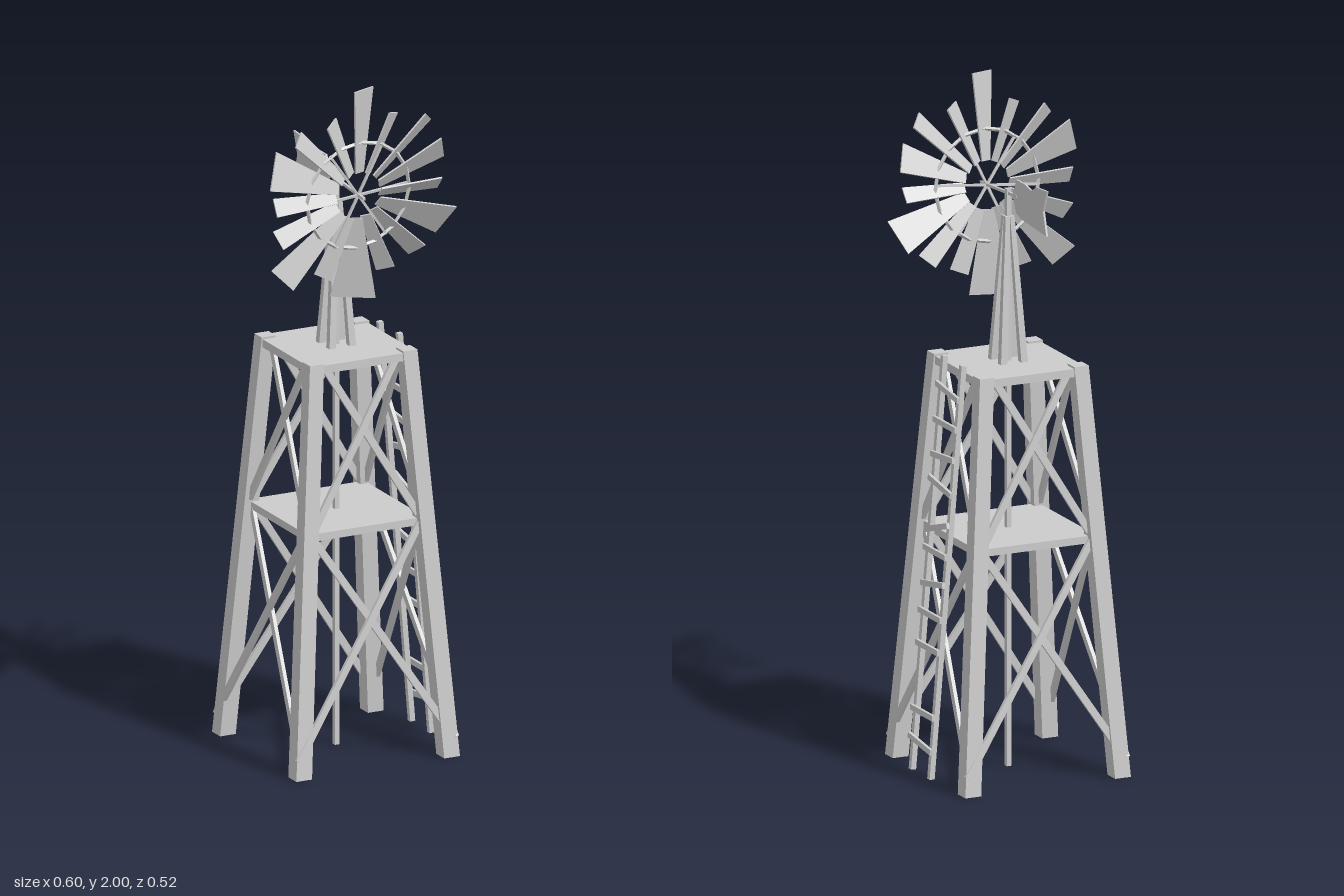
import * as THREE from 'three';

const material = new THREE.MeshStandardMaterial({ color: 0xcccccc, flatShading: true, side: THREE.DoubleSide });
const V = (x, y, z) => new THREE.Vector3(x, y, z);

function addMesh(parent, name, geometry) {
  const mesh = new THREE.Mesh(geometry, material);
  mesh.name = name;
  parent.add(mesh);
  return mesh;
}

// Straight rectangular bar from a to b; "facing" is the direction of its thin side.
function beam(parent, name, a, b, width, depth = width, facing = V(0, 0, 1)) {
  const dir = b.clone().sub(a);
  const length = dir.length();
  dir.normalize();
  const side = dir.clone().cross(facing).normalize();
  const normal = side.clone().cross(dir);
  const mesh = addMesh(parent, name, new THREE.BoxGeometry(width, length, depth));
  mesh.quaternion.setFromRotationMatrix(new THREE.Matrix4().makeBasis(side, dir, normal));
  mesh.position.copy(a).add(b).multiplyScalar(0.5);
  return mesh;
}

// Upright post with level ends, leaning from its bottom centre to its top centre.
function leaningPost(parent, name, bottom, top, bottomSize, topSize) {
  const geo = new THREE.BoxGeometry(1, 1, 1);
  const p = geo.attributes.position;
  for (let i = 0; i < p.count; i++) {
    const up = p.getY(i) > 0;
    const c = up ? top : bottom, s = up ? topSize : bottomSize;
    p.setXYZ(i, c.x + p.getX(i) * s, c.y, c.z + p.getZ(i) * s);
  }
  geo.computeVertexNormals();
  return addMesh(parent, name, geo);
}

function slab(parent, name, half, y, thickness) {
  addMesh(parent, name, new THREE.BoxGeometry(half * 2, thickness, half * 2)).position.y = y;
}

function createTower() {
  const tower = new THREE.Group();
  tower.name = 'tower';
  for (const sx of [-1, 1]) for (const sz of [-1, 1]) {
    leaningPost(tower, 'towerLeg', V(sx * 0.236, 0, sz * 0.236), V(sx * 0.149, 1.2, sz * 0.149), 0.05, 0.045);
    leaningPost(tower, 'mastLeg', V(sx * 0.033, 1.18, sz * 0.033), V(sx * 0.007, 1.62, sz * 0.007), 0.021, 0.014);
  }
  slab(tower, 'topPlatform', 0.168, 1.182, 0.024);
  slab(tower, 'middlePlatform', 0.187, 0.692, 0.022);
  beam(tower, 'pumpRod', V(0, 0, 0), V(0, 1.7, 0), 0.015);

  // Crossed braces on each of the four faces
  for (let i = 0; i < 4; i++) {
    const face = new THREE.Group();
    face.name = 'faceBraces';
    face.rotation.y = i * Math.PI / 2;
    for (const s of [-1, 1]) {
      const off = s * 0.004;
      beam(face, 'lowerBrace', V(-s * 0.25, 0.055, 0.25 + off), V(s * 0.17, 0.69, 0.185 + off), 0.021, 0.011);
      beam(face, 'upperBrace', V(-s * 0.167, 0.715, 0.185 + off), V(s * 0.115, 1.185, 0.15 + off), 0.021, 0.011);
    }
    tower.add(face);
  }
  return tower;
}

function createLadder() {
  const ladder = new THREE.Group();
  ladder.name = 'ladder';
  const railX = y => 0.276 - 0.084 * y;
  for (const z of [-0.066, 0.054])
    beam(ladder, 'ladderRail', V(railX(0.01), 0.01, z), V(railX(1.215), 1.215, z), 0.016, 0.016);
  // Rungs as height and slope; some hang crooked, one is missing
  const rungs = [[0.1, 0.018], [0.19, 0], [0.38, 0], [0.475, 0], [0.565, -0.025], [0.658, 0],
    [0.73, -0.045], [0.85, 0.022], [0.935, -0.012], [1.03, 0], [1.125, 0.018]];
  for (const [y, slope] of rungs) {
    const x = railX(y) + 0.012;
    beam(ladder, 'ladderRung', V(x, y - slope / 2, -0.077), V(x, y + slope / 2, 0.066), 0.017, 0.009, V(1, 0, 0));
  }
  return ladder;
}

// Tapered flat blade pointing up from the hub
function bladeGeometry(inner, outer, innerWidth, outerWidth) {
  const geo = new THREE.BoxGeometry(1, 1, 0.005);
  const p = geo.attributes.position;
  for (let i = 0; i < p.count; i++) {
    const out = p.getY(i) > 0;
    p.setX(i, p.getX(i) * (out ? outerWidth : innerWidth));
    p.setY(i, out ? outer : inner);
  }
  geo.computeVertexNormals();
  return geo;
}

function createRotor() {
  const rotor = new THREE.Group();
  rotor.name = 'rotor';
  rotor.position.set(0, 1.675, 0.137);
  rotor.rotation.x = 0.105;
  // Sixteen uneven blades from the right-hand one round: reach, tip width, pitch
  const blades = [
    [0.26, 0.05, 0.6], [0.285, 0.09, 0.45], [0.3, 0.06, 0.6], [0.26, 0.055, 0.6],
    [0.327, 0.073, 0.3], [0.255, 0.055, 0.6], [0.285, 0.055, 0.6], [0.3, 0.115, 0.45],
    [0.265, 0.055, 0.6], [0.27, 0.06, 0.6], [0.325, 0.085, 0.5], [0.26, 0.055, 0.6],
    [0.315, 0.13, 0.45], [0.26, 0.055, 0.6], [0.28, 0.06, 0.6], [0.31, 0.11, 0.45]];
  blades.forEach(([reach, width, pitch], i) => {
    const arm = new THREE.Group();
    arm.name = 'bladeArm';
    arm.rotation.z = (i / blades.length) * Math.PI * 2 - Math.PI / 2;
    addMesh(arm, 'blade', bladeGeometry(0.07, reach, 0.032, width)).rotation.y = pitch;
    rotor.add(arm);
  });
  addMesh(rotor, 'bladeRing', new THREE.TorusGeometry(0.163, 0.006, 4, 16));
  // Thin spokes across the open centre
  for (let i = 0; i < 3; i++) {
    const a = 0.1 + i * Math.PI / 3;
    const tip = V(Math.cos(a) * 0.165, Math.sin(a) * 0.165, 0);
    beam(rotor, 'spoke', tip.clone().negate(), tip, 0.007);
  }
  return rotor;
}

function createTail() {
  const tail = new THREE.Group();
  tail.name = 'tail';
  beam(tail, 'shaft', V(0, 1.674, 0.175), V(0, 1.691, -0.06), 0.008, 0.008, V(0, 1, 0));
  // Ragged vane outline: distance behind the mast and height
  const outline = [[0.036, 1.69], [0.06, 1.74], [0.115, 1.74], [0.155, 1.732], [0.19, 1.75], [0.258, 1.755],
    [0.234, 1.69], [0.254, 1.622], [0.15, 1.628], [0.09, 1.632], [0.058, 1.642]];
  const shape = new THREE.Shape(outline.map(([d, y]) => new THREE.Vector2(d, y)));
  const vane = addMesh(tail, 'tailVane', new THREE.ExtrudeGeometry(shape, { depth: 0.006, bevelEnabled: false }));
  vane.rotation.y = Math.PI / 2;
  vane.position.x = -0.003;
  return tail;
}

export function createModel() {
  const model = new THREE.Group();
  model.name = 'windPump';
  model.add(createTower(), createLadder(), createRotor(), createTail());
  return model;
}
